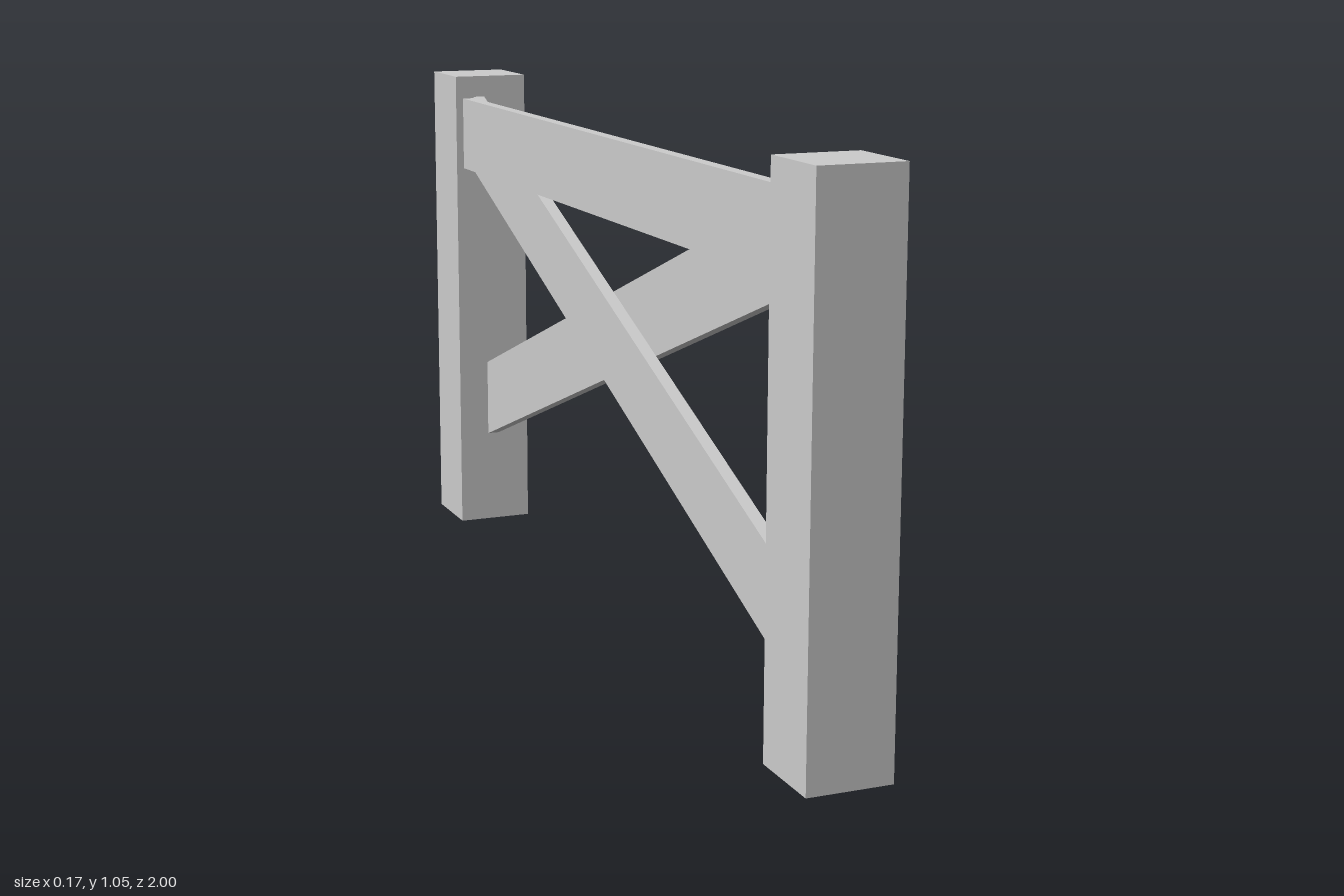
import * as THREE from 'three';

export function createModel() {
  const group = new THREE.Group();
  const material = new THREE.MeshStandardMaterial({ color: 0xcccccc, flatShading: true });
  const postWidth = 0.165, postHeight = 1.05;
  const inner = 1 - postWidth; // z of the inner post faces
  const boardThickness = 0.0255;

  const add = (name, geometry) => {
    const mesh = new THREE.Mesh(geometry, material);
    mesh.name = name;
    group.add(mesh);
    return mesh;
  };

  // Square end posts
  for (const [name, side] of [['frontPost', 1], ['backPost', -1]]) {
    add(name, new THREE.BoxGeometry(postWidth, postHeight, postWidth))
      .position.set(0, postHeight / 2, side * (1 - postWidth / 2));
  }

  // Board between the posts with plumb-cut ends, given the bottom and top height at each end
  const board = (name, x, [frontLow, frontHigh], [backLow, backHigh]) => {
    const outline = new THREE.Shape([
      new THREE.Vector2(-inner, frontLow),
      new THREE.Vector2(inner, backLow),
      new THREE.Vector2(inner, backHigh),
      new THREE.Vector2(-inner, frontHigh),
    ]);
    const geometry = new THREE.ExtrudeGeometry(outline, { depth: boardThickness, bevelEnabled: false });
    geometry.rotateY(Math.PI / 2); // outline x becomes -z, thickness runs along +x
    add(name, geometry).position.x = x;
  };

  // Three boards laid against each other, from -x to +x
  const start = -0.066;
  board('topRail', start, [0.84, 1.0], [0.84, 1.0]);
  board('risingBrace', start + boardThickness, [0.157, 0.33], [0.832, 1.003]);
  board('fallingBrace', start + 2 * boardThickness, [0.827, 1.0], [0.208, 0.38]);

  return group;
}
